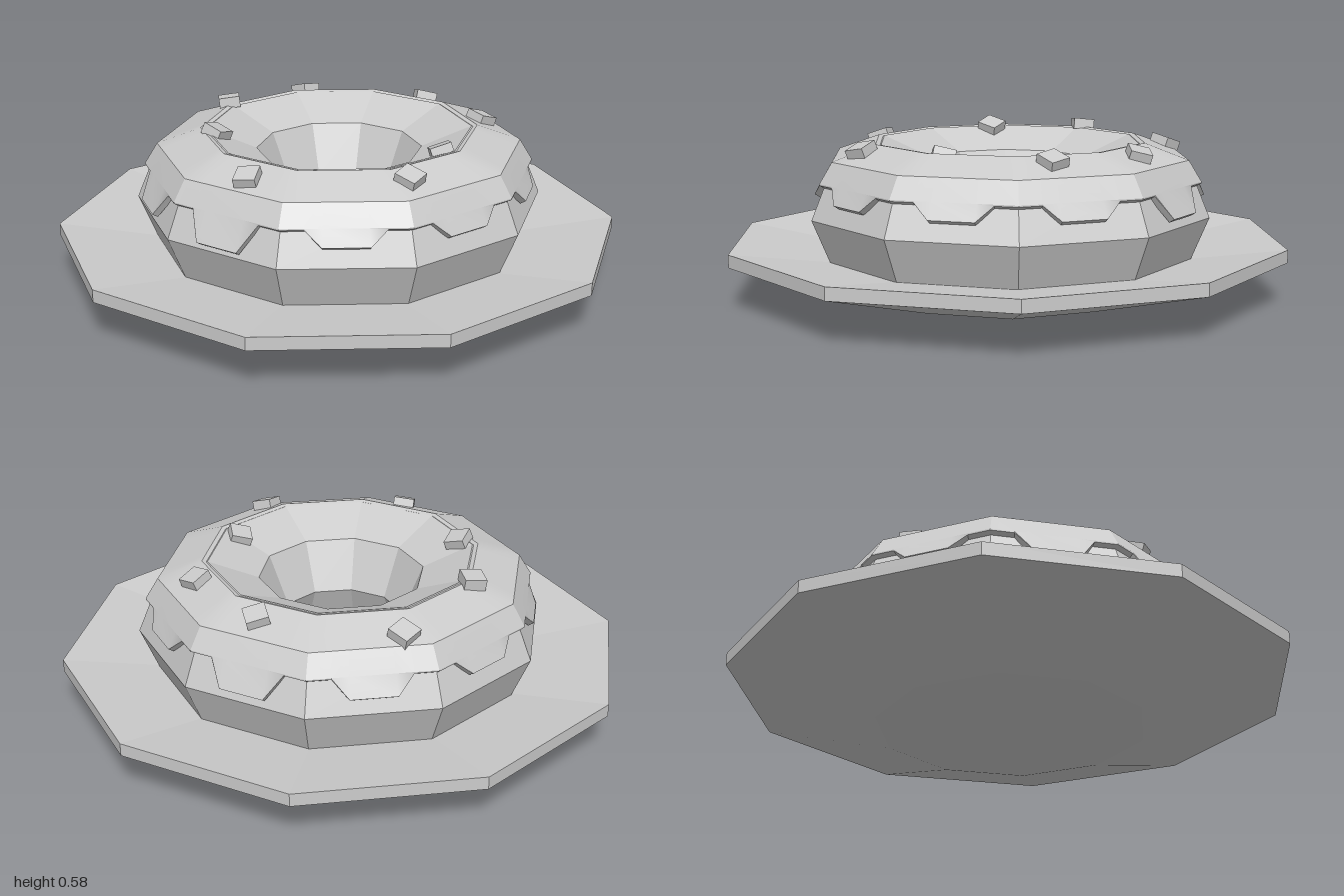
import * as THREE from 'three';
import { toCreasedNormals } from 'three/addons/utils/BufferGeometryUtils.js';

const SIDES = 10;
const STEP = (Math.PI * 2) / SIDES;
const rad = THREE.MathUtils.degToRad;
const CENTRE_Z = -0.01;

// Shrinks a circle to the ten-sided outline with a corner on +x
function outline(a) {
  const local = ((a % STEP) + STEP) % STEP - STEP / 2;
  return Math.cos(STEP / 2) / Math.cos(local);
}

function createIcing() {
  // Lower edge height of each drip, counted from the +x corner towards +z
  const drips = [0.36, 0.36, 0.32, 0.33, 0.36, 0.36, 0.35, 0.33, 0.36, 0.36];
  // Each side: corner, then the two flanks of its drip
  const offsets = [[-18, 0], [-11.5, 0], [-6.5, 1], [6.5, 1], [11.5, 0]];
  const columns = [];
  drips.forEach((low, k) => {
    for (const [deg, drip] of offsets) {
      const y = drip ? low : 0.41;
      const r = 0.69 + (0.41 - y) * 0.6;
      columns.push({
        a: (k + 0.5) * STEP + rad(deg),
        profile: [[0.45, 0.53], [0.49, 0.543], [0.645, 0.488], [0.69, 0.415], [r, y], [r - 0.02, y - 0.012]],
      });
    }
  });
  const rings = columns[0].profile.length;
  const n = columns.length;
  const positions = [];
  const index = [];
  for (const { a, profile } of columns) {
    const f = outline(a);
    for (const [r, y] of profile) positions.push(r * f * Math.cos(a), y, r * f * Math.sin(a));
  }
  for (let j = 0; j < n; j++) {
    for (let i = 0; i < rings - 1; i++) {
      const p = j * rings + i;
      const q = ((j + 1) % n) * rings + i;
      index.push(p, q, p + 1, q, q + 1, p + 1);
    }
  }
  const geo = new THREE.BufferGeometry();
  geo.setAttribute('position', new THREE.Float32BufferAttribute(positions, 3));
  geo.setIndex(index);
  return toCreasedNormals(geo, 0.5);
}

export function createModel() {
  const model = new THREE.Group();
  const flat = new THREE.MeshStandardMaterial({ color: 0xcccccc, flatShading: true });
  const smooth = new THREE.MeshStandardMaterial({ color: 0xcccccc, side: THREE.DoubleSide });

  function add(parent, name, geometry, material) {
    const mesh = new THREE.Mesh(geometry, material);
    mesh.name = name;
    parent.add(mesh);
    return mesh;
  }

  // Shallow ten-sided dish
  const dish = [[0, 0], [0.48, 0], [1, 0.145], [1, 0.19], [0.48, 0.115], [0, 0.115]];
  add(model, 'plate', new THREE.LatheGeometry(
    dish.map(([r, y]) => new THREE.Vector2(r, y)), SIDES, Math.PI / 2), flat);

  const donut = new THREE.Group();
  donut.name = 'donut';
  donut.position.z = CENTRE_Z;
  model.add(donut);

  // Ring of dough resting in the dish
  const dough = new THREE.TorusGeometry(0.47, 0.25, 8, SIDES);
  dough.rotateX(-Math.PI / 2);
  dough.translate(0, 0.29, 0);
  add(donut, 'dough', dough, flat);

  // Icing cap with a dripping edge
  add(donut, 'icing', createIcing(), smooth);

  // Square sprinkles lying on the surface: x, z, spin in degrees
  const sprinkles = new THREE.Group();
  sprinkles.name = 'sprinkles';
  donut.add(sprinkles);
  const chip = new THREE.BoxGeometry(0.076, 0.04, 0.076);
  const up = new THREE.Vector3(0, 1, 0);
  const places = [
    [0.03, -0.54, 40], [-0.43, -0.4, -12], [0.35, -0.4, -15], [-0.5, -0.01, 40],
    [0.41, -0.01, 40], [-0.32, 0.29, 0], [0.47, 0.29, 0], [0.02, 0.56, 20],
  ];
  places.forEach(([x, z, spin]) => {
    const r = Math.hypot(x, z);
    const ring = r / outline(Math.atan2(z, x));
    const inner = ring < 0.48;
    const y = inner ? 0.467 + (ring - 0.293) * 0.41 : 0.543 - Math.max(0, ring - 0.49) * 0.36;
    const tilt = inner ? -0.41 : ring < 0.53 ? 0.15 : 0.36;
    const normal = new THREE.Vector3((x / r) * tilt, 1, (z / r) * tilt).normalize();
    const mesh = add(sprinkles, 'sprinkle', chip, flat);
    mesh.position.set(x, y + 0.012, z);
    mesh.quaternion.setFromUnitVectors(up, normal);
    mesh.rotateY(rad(spin));
  });

  return model;
}
